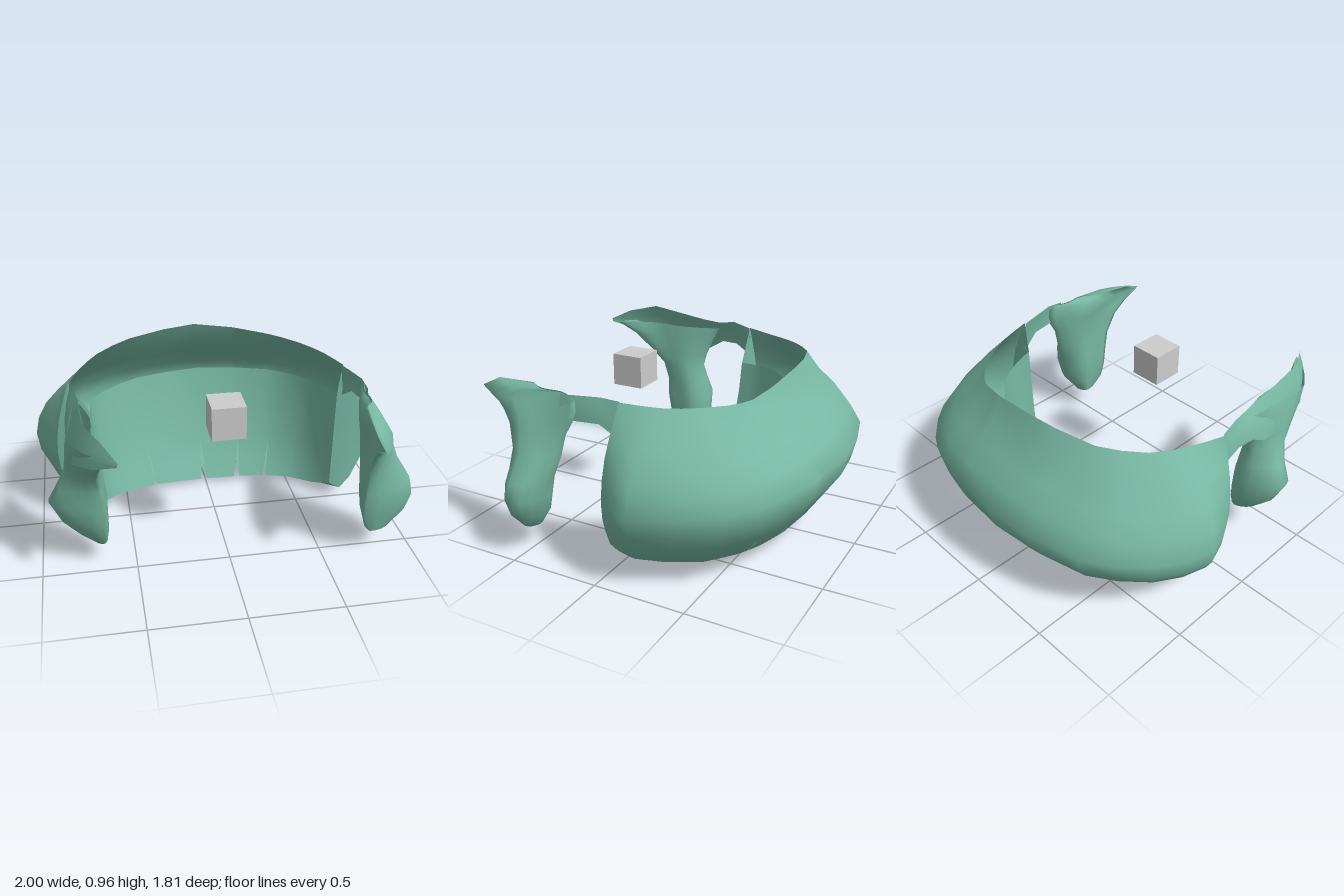
import * as THREE from 'three';
import { mergeVertices } from 'three/addons/utils/BufferGeometryUtils.js';

const green = new THREE.MeshStandardMaterial({ name: 'sea green', color: 0x77b8a3, side: THREE.DoubleSide });
const grey = new THREE.MeshStandardMaterial({ name: 'light grey', color: 0xcccccc });

const V = (a) => new THREE.Vector3(...a);

function finish(name, pos, idx) {
  let g = new THREE.BufferGeometry();
  g.setAttribute('position', new THREE.Float32BufferAttribute(pos, 3));
  g.setIndex(idx);
  g = mergeVertices(g, 1e-4);
  g.computeVertexNormals();
  const m = new THREE.Mesh(g, green);
  m.name = name;
  return m;
}

// Mesh from rows of points; skip(c) leaves out the strip after column c
function gridMesh(name, rows, skip = () => false) {
  const pos = [], idx = [], n = rows[0].length;
  rows.forEach((r) => r.forEach((p) => pos.push(p.x, p.y, p.z)));
  for (let r = 0; r < rows.length - 1; r++) {
    for (let c = 0; c < n - 1; c++) {
      if (skip(c)) continue;
      const a = r * n + c, b = a + n;
      idx.push(a, b, a + 1, a + 1, b, b + 1);
    }
  }
  return finish(name, pos, idx);
}

// Fan that closes an outline
function fanMesh(name, pts) {
  const c = new THREE.Vector3();
  pts.forEach((p) => c.addScaledVector(p, 1 / pts.length));
  const pos = [], idx = [];
  [c, ...pts].forEach((p) => pos.push(p.x, p.y, p.z));
  pts.forEach((p, i) => idx.push(0, i + 1, ((i + 1) % pts.length) + 1));
  return finish(name, pos, idx);
}

// Guide lines of the back shell, from the right end (-x) round to the left end
const rim = [[-.79, .88, 0], [-.72, .875, -.18], [-.62, .88, -.36], [-.4, .9, -.53], [0, .93, -.61],
  [.39, .87, -.55], [.58, .86, -.38], [.68, .86, -.2], [.73, .87, 0]].map(V);
const widest = [[-.88, .42, -.02], [-1, .42, -.28], [-.87, .42, -.58], [-.57, .44, -.82], [-.03, .46, -.91],
  [.48, .45, -.83], [.82, .42, -.62], [1, .38, -.19], [.9, .38, .01]].map(V);
const bottom = [[-.72, .08, .04], [-.74, .065, -.15], [-.66, .055, -.31], [-.37, .015, -.48], [0, 0, -.55],
  [.36, .01, -.48], [.63, .03, -.33], [.77, .06, -.12], [.76, .075, .03]].map(V);
const edge = [[-.65, .1, .08], [-.62, .07, -.08], [-.5, .05, -.18], [-.3, .04, -.25], [0, .03, -.28],
  [.3, .04, -.25], [.5, .05, -.18], [.62, .06, -.08], [.7, .1, .01]].map(V);
const innerTop = [[-.68, .68, 0], [-.68, .68, -.14], [-.6, .68, -.28], [-.38, .68, -.44], [0, .68, -.52],
  [.38, .68, -.43], [.58, .68, -.28], [.67, .68, -.12], [.71, .68, 0]].map(V);

// Blend two guide lines: f sideways, g in height; bulge adds to f towards the sides
const blend = (a, b, f, g = f, bulge = 0) => a.map((p, i) => {
  const k = f + bulge * Math.min(1, Math.abs(i - 4) / 3);
  return new THREE.Vector3(p.x + (b[i].x - p.x) * k, p.y + (b[i].y - p.y) * g, p.z + (b[i].z - p.z) * k);
});

// Columns along the shell; each slit is a pair of columns that part towards the edge
const slits = [[2.92, .7], [3.94, 1], [4.6, .7], [5.26, .5]];
const columns = [];
for (let s = 0; s <= 8; s += .5) {
  if (slits.every(([t]) => Math.abs(t - s) > .09)) columns.push({ s, w: 0 });
}
slits.forEach(([s, w]) => columns.push({ s, w: -w, open: true }, { s: s + 1e-6, w }));
columns.sort((a, b) => a.s - b.s);

function sample(line, width) {
  const curve = new THREE.CatmullRomCurve3(line, false, 'catmullrom', .4);
  return columns.map(({ s, w }) => curve.getPoint((s + w * width) / 8));
}
const skipSlit = (c) => !!columns[c].open;

function backShell() {
  const g = new THREE.Group();
  g.name = 'backShell';
  const outer = [
    [rim, 0], [blend(rim, widest, .2, .3, .27), 0], [blend(rim, widest, .5, .5, .24), 0],
    [blend(rim, widest, .76, .72, .16), 0], [blend(rim, widest, 1, .95), 0],
    [blend(widest, bottom, .08, .22, -.02), 0], [blend(widest, bottom, .3, .48, -.05), 0],
    [blend(widest, bottom, .58, .8), .02], [bottom, .025], [edge, .075],
  ];
  const inner = [[edge, .075], [blend(edge, innerTop, .25, .16), .035], [blend(edge, innerTop, .5, .34), 0],
    [blend(edge, innerTop, .82, .68), 0], [innerTop, 0]];
  g.add(gridMesh('outerShell', outer.map(([l, w]) => sample(l, w)), skipSlit));
  g.add(gridMesh('innerLining', inner.map(([l, w]) => sample(l, w)), skipSlit));
  // Front ends
  for (const [name, i] of [['rightShellEnd', 0], ['leftShellEnd', 8]]) {
    g.add(fanMesh(name, [...outer, ...inner.slice(1)].map(([l]) => l[i])));
  }
  return g;
}

// Band running forward and leaning outwards: [z, topY, lowY, topX, lowX]
function strap(name, sections) {
  const rows = sections.map(([z, top, low, tx, lx]) => [0, 1 / 3, 2 / 3, 1].map((t) =>
    new THREE.Vector3(tx + (lx - tx) * Math.sin(t * Math.PI / 2), top + (low - top) * t, z)));
  return gridMesh(name, rows);
}

// Hanging lock from full, rounded rings: [y, frontX, frontZ, backX, backZ, outerX, innerX]
function lock(name, levels) {
  const rows = levels.map(([y, fx, fz, bx, bz, ox, ix]) => {
    const zm = (fz + bz) / 2, d = (fz - bz) * .2;
    return new THREE.CatmullRomCurve3([[fx, y, fz], [ox, y, zm + d], [ox, y, zm - d], [bx, y, bz],
      [ix, y, zm - d], [ix, y, zm + d]].map(V), true).getPoints(18);
  });
  const g = new THREE.Group();
  g.name = name;
  g.add(gridMesh(name + 'Body', rows), fanMesh(name + 'Tip', rows[rows.length - 1].slice(0, 18)));
  return g;
}

export function createModel() {
  const model = new THREE.Group();
  model.name = 'hairPiece';
  model.add(backShell());

  // Left side: short strap, and a lock that widens into it at the top
  model.add(strap('leftStrap', [[0, .87, .68, .72, .74], [.1, .88, .75, .735, .76], [.22, .88, .75, .765, .78],
    [.32, .87, .75, .765, .78]]));
  model.add(lock('leftLock', [[.87, .68, .55, .77, .25, .74, .73], [.85, .65, .8, .77, .23, .745, .7],
    [.8, .67, .9, .78, .22, .77, .69], [.74, .68, .79, .785, .24, .8, .7], [.67, .69, .71, .79, .28, .83, .71],
    [.55, .7, .65, .8, .31, .88, .72], [.42, .7, .63, .82, .36, .96, .72], [.33, .7, .62, .82, .38, .98, .72],
    [.23, .71, .6, .82, .4, .95, .73], [.13, .76, .57, .8, .47, .86, .75]]));

  // Right side
  model.add(strap('rightStrap', [[0, .88, .7, -.78, -.8], [.1, .91, .76, -.77, -.81], [.2, .9, .76, -.75, -.82],
    [.3, .91, .7, -.74, -.82], [.45, .93, .7, -.74, -.82], [.65, .96, .75, -.73, -.79], [.8, .93, .8, -.65, -.7],
    [.9, .88, .86, -.585, -.59]]));
  model.add(lock('rightLock', [[.86, -.6, .86, -.76, .2, -.79, -.69], [.78, -.66, .76, -.75, .24, -.81, -.68],
    [.68, -.68, .65, -.74, .28, -.82, -.67], [.6, -.69, .57, -.73, .3, -.83, -.66],
    [.5, -.68, .53, -.73, .28, -.87, -.65], [.4, -.66, .52, -.72, .26, -.92, -.64],
    [.28, -.66, .5, -.72, .25, -.87, -.64], [.18, -.66, .47, -.7, .28, -.78, -.64],
    [.12, -.67, .43, -.68, .35, -.71, -.65]]));

  // Small block between the locks
  const block = new THREE.Mesh(new THREE.BoxGeometry(.18, .18, .18), grey);
  block.name = 'block';
  block.position.set(0, .79, .36);
  model.add(block);
  return model;
}
